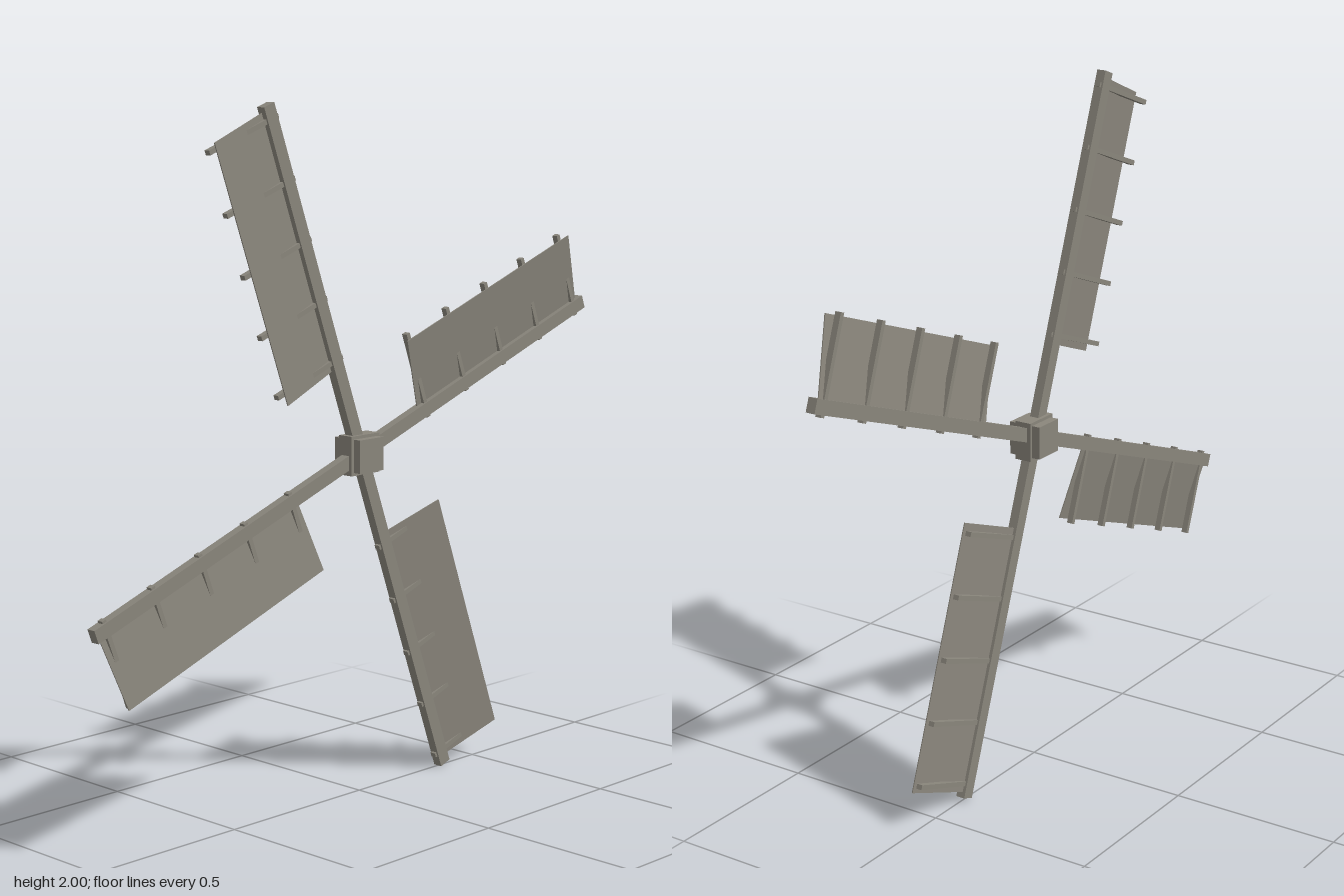
import * as THREE from 'three';

export function createModel() {
  const wood = new THREE.MeshStandardMaterial({ color: 0x8a867c });
  wood.name = 'weatheredWood';

  const box = (name, parent, size, pos) => {
    const mesh = new THREE.Mesh(new THREE.BoxGeometry(...size), wood);
    mesh.name = name;
    mesh.position.set(...pos);
    parent.add(mesh);
    return mesh;
  };

  const model = new THREE.Group();
  model.name = 'windmillSails';
  const rotor = new THREE.Group();
  rotor.name = 'rotor';
  rotor.position.y = 1;
  model.add(rotor);

  // Hub: square block with a wider collar around its middle
  box('hubBlock', rotor, [0.096, 0.096, 0.1], [0, 0, 0]);
  box('hubCollar', rotor, [0.114, 0.114, 0.05], [0, 0, 0]);

  // Four blades, each laid out along +x and then turned
  const length = 1.057;
  const sailWidth = 0.232, zInner = -0.006, zOuter = 0.026;
  for (let i = 0; i < 4; i++) {
    const blade = new THREE.Group();
    blade.name = 'blade' + (i + 1);
    blade.rotation.z = THREE.MathUtils.degToRad(20 + 90 * i);
    rotor.add(blade);

    box('spar', blade, [length, 0.04, 0.028], [length / 2, 0, 0]);

    // Sail board pitched forward toward its free edge, cutting through the ribs
    const sail = box('sailBoard', blade, [0.772, Math.hypot(sailWidth, zOuter - zInner), 0.003],
      [0.654, sailWidth / 2, (zInner + zOuter) / 2]);
    sail.rotation.x = Math.atan2(zOuter - zInner, sailWidth);

    // Cross ribs poking out past the spar and the sail edge
    for (let r = 0; r < 5; r++) {
      box('rib', blade, [0.014, 0.269, 0.018], [0.295 + 0.18 * r, 0.1075, 0]);
    }
  }
  return model;
}
